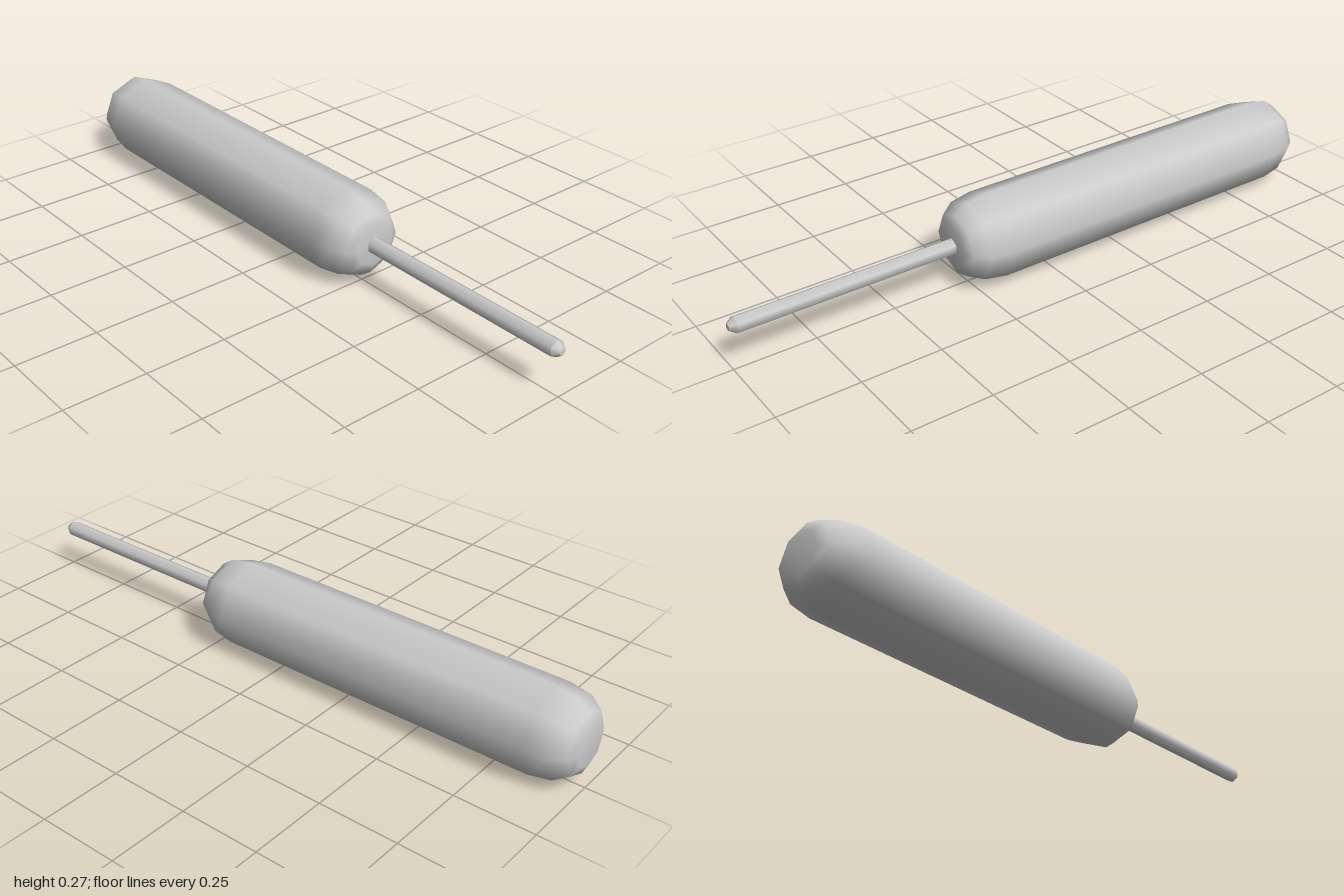
import * as THREE from 'three';

const AXIS_Y = 0.137;

// Turn a profile of [x along the axis, radius] points around the x axis
function turned(name, profile, sides, phiStart, material) {
  const points = profile.map(([x, r]) => new THREE.Vector2(r, x));
  const geometry = new THREE.LatheGeometry(points, sides, phiStart);
  geometry.rotateZ(-Math.PI / 2);
  const mesh = new THREE.Mesh(geometry, material);
  mesh.name = name;
  mesh.position.y = AXIS_Y;
  return mesh;
}

export function createModel() {
  const group = new THREE.Group();
  group.name = 'handTool';
  const material = new THREE.MeshStandardMaterial({ color: 0xcccccc });

  // Eight-sided handle, the same rounding mirrored at both ends: [inset, radius]
  const rounding = [[0, 0], [0, 0.066], [0.015, 0.097], [0.055, 0.125], [0.125, 0.137]];
  const handleProfile = [
    ...rounding.map(([d, r]) => [-1 + d, r]),
    ...rounding.map(([d, r]) => [0.3 - d, r]).reverse(),
  ];
  group.add(turned('handle', handleProfile, 8, 0, material));

  // Six-sided shaft with a bevelled tip
  const shaftProfile = [[0.26, 0.026], [0.98, 0.026]];
  const tipProfile = [[0.98, 0.026], [1, 0.011]];
  const endProfile = [[1, 0.011], [1, 0]];
  group.add(turned('shaft', shaftProfile, 6, Math.PI / 2, material));
  group.add(turned('shaftBevel', tipProfile, 6, Math.PI / 2, material));
  group.add(turned('shaftEnd', endProfile, 6, Math.PI / 2, material));

  return group;
}
